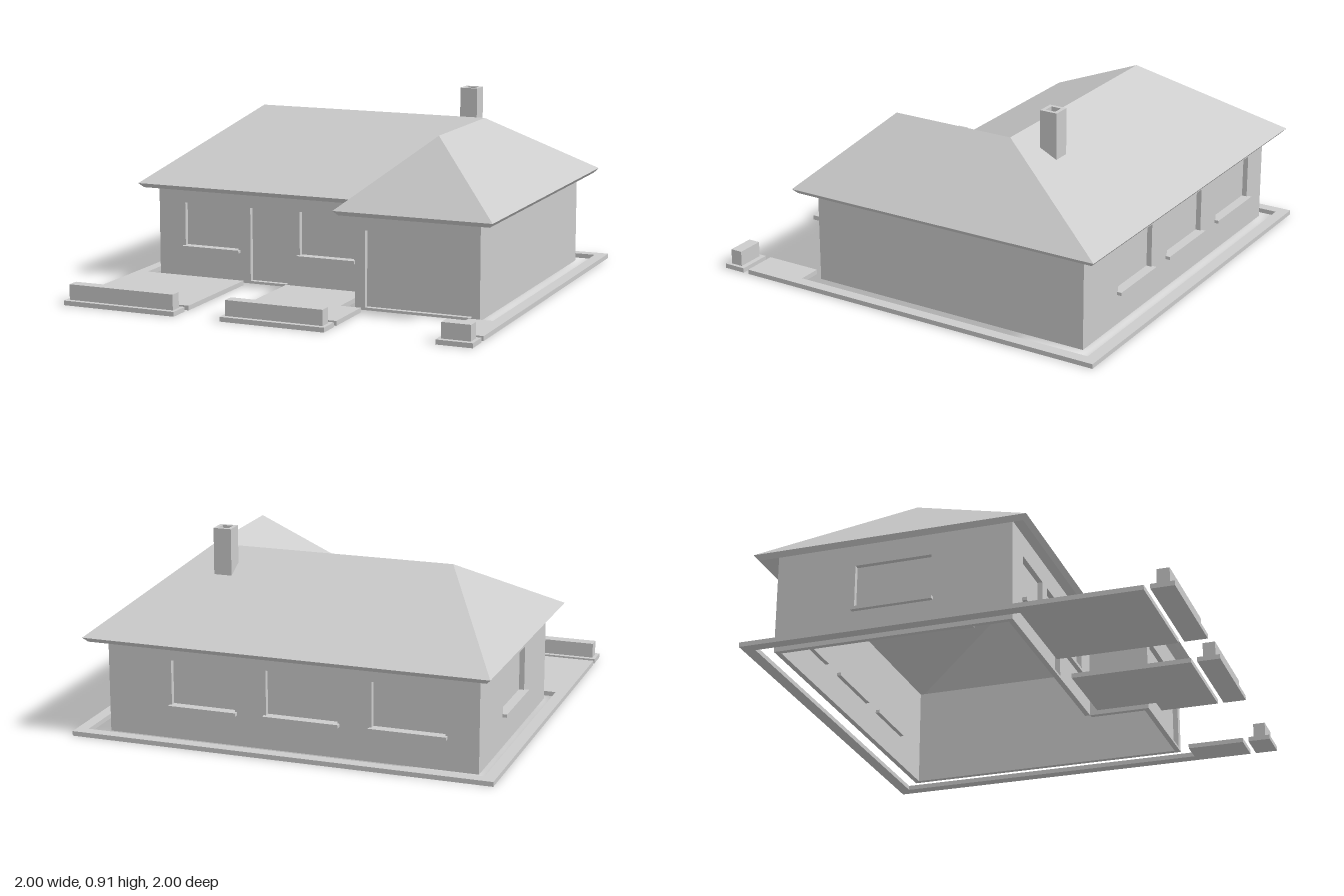
import * as THREE from 'three';

const grey = new THREE.MeshStandardMaterial({ color: 0xcccccc, flatShading: true, side: THREE.DoubleSide });

function add(parent, name, geometry) {
  const mesh = new THREE.Mesh(geometry, grey);
  mesh.name = name;
  parent.add(mesh);
  return mesh;
}

// Box given by its limits on each axis
function box(parent, name, [x0, x1], [y0, y1], [z0, z1]) {
  const mesh = add(parent, name, new THREE.BoxGeometry(x1 - x0, y1 - y0, z1 - z0));
  mesh.position.set((x0 + x1) / 2, (y0 + y1) / 2, (z0 + z1) / 2);
  return mesh;
}

const polygon = (points) => new THREE.Shape(points.map(([x, y]) => new THREE.Vector2(x, y)));
const rect = (x0, x1, y0, y1) => polygon([[x0, y0], [x1, y0], [x1, y1], [x0, y1]]);

// Flat slab on the ground, outlined by [x, z] points
function slab(parent, name, points, holes = []) {
  const shape = polygon(points.map(([x, z]) => [x, -z]));
  shape.holes = holes;
  const geometry = new THREE.ExtrudeGeometry(shape, { depth: 0.022, bevelEnabled: false });
  add(parent, name, geometry.rotateX(-Math.PI / 2));
}

// Wall running along local x, facing local +z, with recessed windows or doors
const THICK = 0.025;
function wall(parent, name, [x, z], angle, length, openings = []) {
  const group = new THREE.Group();
  group.name = name;
  group.position.set(x, 0, z);
  group.rotation.y = angle;
  parent.add(group);

  const shape = rect(0, length, 0, 0.485);
  for (const { from, to, door } of openings) {
    const bottom = door ? 0.012 : 0.16;
    shape.holes.push(rect(from, to, bottom, 0.37));
    const panel = add(group, door ? 'doorPanel' : 'windowPane', new THREE.PlaneGeometry(to - from, 0.37 - bottom));
    panel.position.set((from + to) / 2, (0.37 + bottom) / 2, -THICK);
    if (!door) box(group, 'windowSill', [from - 0.01, to + 0.01], [0.145, 0.16], [-0.045, 0.022]);
  }
  const geometry = new THREE.ExtrudeGeometry(shape, { depth: THICK, bevelEnabled: false });
  add(group, name + 'Panel', geometry.translate(0, 0, -THICK));
}

// Hipped L-shaped roof: an upper skin, a parallel lower skin and a slanted edge
function roofGeometry() {
  const eaves = [[-0.97, -0.97], [-0.97, 0.335], [0.185, 0.335], [0.185, 0.625], [0.95, 0.625], [0.95, -0.97]];
  const inward = [[1, 1], [1, -1], [1, -1], [1, -1], [-1, -1], [-1, 1]];
  const ridge = [[-0.605, -0.32], [0.57, -0.32], [0.57, 0.295]];
  const top = [...eaves.map(([x, z]) => [x, 0.465, z]), ...ridge.map(([x, z]) => [x, 0.785, z])];
  const under = [
    ...eaves.map(([x, z], i) => [x + inward[i][0] * 0.02, 0.443, z + inward[i][1] * 0.02]),
    ...ridge.map(([x, z]) => [x, 0.75, z]),
  ];
  const slopes = [[0, 1, 6], [1, 2, 7, 6], [2, 3, 8, 7], [3, 4, 8], [4, 5, 7, 8], [5, 0, 6, 7]];
  const out = [];
  const face = (corners) => {
    for (let i = 1; i < corners.length - 1; i++) out.push(...corners[0], ...corners[i], ...corners[i + 1]);
  };
  for (const slope of slopes) {
    face(slope.map((i) => top[i]));
    face(slope.map((i) => under[i]).reverse());
  }
  for (let i = 0; i < 6; i++) {
    const j = (i + 1) % 6;
    face([top[i], under[i], under[j], top[j]]);
  }
  const geometry = new THREE.BufferGeometry();
  geometry.setAttribute('position', new THREE.Float32BufferAttribute(out, 3));
  geometry.computeVertexNormals();
  return geometry;
}

export function createModel() {
  const model = new THREE.Group();
  model.name = 'bungalow';

  // Walls: main block with a garage wing at the front left
  const L = -0.9, R = 0.865, BACK = -0.875, FRONT = 0.25, WING = 0.26, WING_FRONT = 0.54;
  const span = (a, b, door = false) => ({ from: a, to: b, door });
  wall(model, 'frontWall', [L, FRONT], 0, WING - L, [
    span(-0.76 - L, -0.475 - L), span(-0.41 - L, -0.215 - L, true), span(-0.15 - L, 0.13 - L),
  ]);
  wall(model, 'garageSideWall', [WING, FRONT], -Math.PI / 2, WING_FRONT - FRONT);
  wall(model, 'garageFrontWall', [WING, WING_FRONT], 0, R - WING, [span(0.05, 0.565, true)]);
  wall(model, 'leftWall', [R, WING_FRONT], Math.PI / 2, WING_FRONT - BACK);
  wall(model, 'backWall', [R, BACK], Math.PI, R - L, [span(0.31, 0.62), span(0.77, 1.11), span(1.27, 1.61)]);
  wall(model, 'rightWall', [L, BACK], -Math.PI / 2, FRONT - BACK, [span(0.38, 0.745)]);

  // Roof and hollow chimney
  add(model, 'roof', roofGeometry());
  const stack = rect(-0.043, 0.043, -0.043, 0.043);
  stack.holes.push(rect(-0.025, 0.025, -0.025, 0.025));
  const chimney = add(model, 'chimney',
    new THREE.ExtrudeGeometry(stack, { depth: 0.25, bevelEnabled: false }).rotateX(-Math.PI / 2));
  chimney.position.set(0.447, 0.66, -0.47);

  // Path round the house, widening into a patio and a strip beside the drive
  slab(model, 'pathAndPatio', [
    [-1, -1], [-1, 0.865], [-0.425, 0.865], [-0.425, 0.3], [-0.945, 0.3], [-0.945, -0.945],
    [0.945, -0.945], [0.945, 0.59], [0.83, 0.59], [0.83, 0.865], [1, 0.865], [1, -1],
  ]);
  slab(model, 'middlePatio', [
    [-0.2, 0.3], [-0.2, 0.865], [0.31, 0.865], [0.31, 0.59], [0.21, 0.59], [0.21, 0.3],
  ]);

  // Low garden walls on footings along the street
  for (const [x0, x1] of [[-1, -0.43], [-0.2, 0.31], [0.83, 1]]) {
    box(model, 'gardenWallFooting', [x0, x1], [0, 0.022], [0.893, 1]);
    box(model, 'gardenWall', [x0 + 0.017, x1 - 0.017], [0.022, 0.095], [0.917, 0.975]);
  }
  return model;
}
